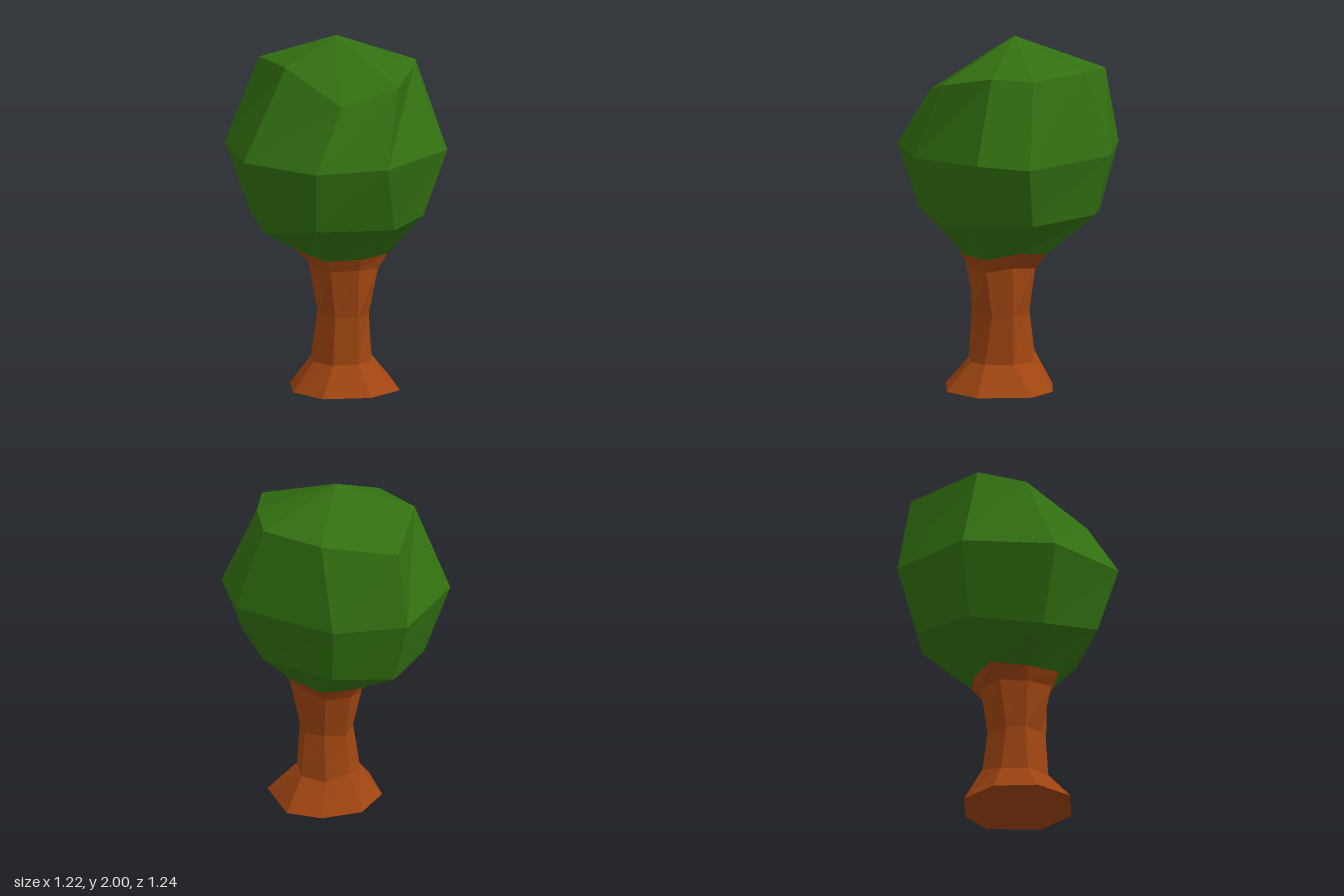
import * as THREE from 'three';

// Skins a stack of eight-point rings, each running front -> +x -> back -> -x, bottom to top.
// A ring of one point closes that end.
function skin(rings, color, name) {
  const pos = [];
  const n = 8;
  for (let r = 0; r < rings.length - 1; r++) {
    const low = rings[r], high = rings[r + 1];
    for (let i = 0; i < n; i++) {
      const j = (i + 1) % n;
      const a = low[i % low.length], b = low[j % low.length];
      const c = high[j % high.length], d = high[i % high.length];
      if (low.length > 1) pos.push(...a, ...b, ...(high.length > 1 ? c : d));
      if (high.length > 1) pos.push(...a, ...c, ...d);
    }
  }
  const geometry = new THREE.BufferGeometry();
  geometry.setAttribute('position', new THREE.Float32BufferAttribute(pos, 3));
  geometry.computeVertexNormals();
  const mesh = new THREE.Mesh(geometry, new THREE.MeshStandardMaterial({ color, flatShading: true }));
  mesh.name = name;
  return mesh;
}

export function createModel() {
  const tree = new THREE.Group();
  tree.name = 'tree';

  // Collar where the trunk flares into the crown
  const collar = [
    [0.02, 0.77, 0.31], [0.21, 0.775, 0.26], [0.28, 0.81, 0.09], [0.22, 0.78, -0.1],
    [0.02, 0.76, -0.16], [-0.18, 0.77, -0.14], [-0.2, 0.775, 0.08], [-0.18, 0.775, 0.27],
  ];

  // Trunk: wide foot, slim waist, flared top
  const foot = [
    [0.02, 0, 0.42], [0.25, 0, 0.33], [0.35, 0, 0.04], [0.24, 0, -0.13],
    [0.02, 0, -0.22], [-0.2, 0, -0.13], [-0.3, 0, 0.1], [-0.23, 0, 0.32],
  ];
  const ankle = [
    [0.02, 0.16, 0.27], [0.12, 0.16, 0.23], [0.2, 0.16, 0.09], [0.14, 0.16, -0.05],
    [0.02, 0.2, -0.11], [-0.11, 0.16, -0.05], [-0.17, 0.16, 0.09], [-0.12, 0.16, 0.23],
  ];
  const waist = [
    [0.02, 0.43, 0.27], [0.13, 0.43, 0.19], [0.18, 0.43, 0.085], [0.12, 0.43, -0.01],
    [0.02, 0.43, -0.08], [-0.09, 0.43, -0.01], [-0.14, 0.43, 0.085], [-0.09, 0.43, 0.2],
  ];
  const neck = [
    [0.02, 0.7, 0.275], [0.16, 0.69, 0.24], [0.19, 0.71, 0.09], [0.15, 0.69, -0.06],
    [0.02, 0.69, -0.12], [-0.12, 0.7, -0.06], [-0.16, 0.7, 0.09], [-0.14, 0.7, 0.24],
  ];
  tree.add(skin([[[0.02, 0, 0.1]], foot, ankle, waist, neck, collar], 0xa04511, 'trunk'));

  // Crown: irregular faceted ball
  const lower = [
    [0.13, 0.965, 0.49], [0.355, 1.01, 0.415], [0.475, 1.0, 0.09], [0.34, 1.01, -0.345],
    [0.02, 0.97, -0.505], [-0.34, 0.95, -0.33], [-0.46, 0.92, 0.07], [-0.34, 0.995, 0.44],
  ];
  const middle = [
    [0.02, 1.35, 0.62], [0.495, 1.375, 0.435], [0.61, 1.35, 0.165], [0.39, 1.35, -0.415],
    [0.02, 1.35, -0.62], [-0.46, 1.35, -0.415], [-0.61, 1.35, 0.085], [-0.395, 1.35, 0.545],
  ];
  const upper = [
    [0.15, 1.78, 0.5], [0.36, 1.835, 0.29], [0.48, 1.825, 0.085], [0.355, 1.83, -0.27],
    [0.02, 1.775, -0.54], [-0.32, 1.855, -0.27], [-0.31, 1.85, 0.025], [-0.175, 1.69, 0.44],
  ];
  tree.add(skin([collar, lower, middle, upper, [[0.02, 2, 0.01]]], 0x327011, 'crown'));

  return tree;
}
